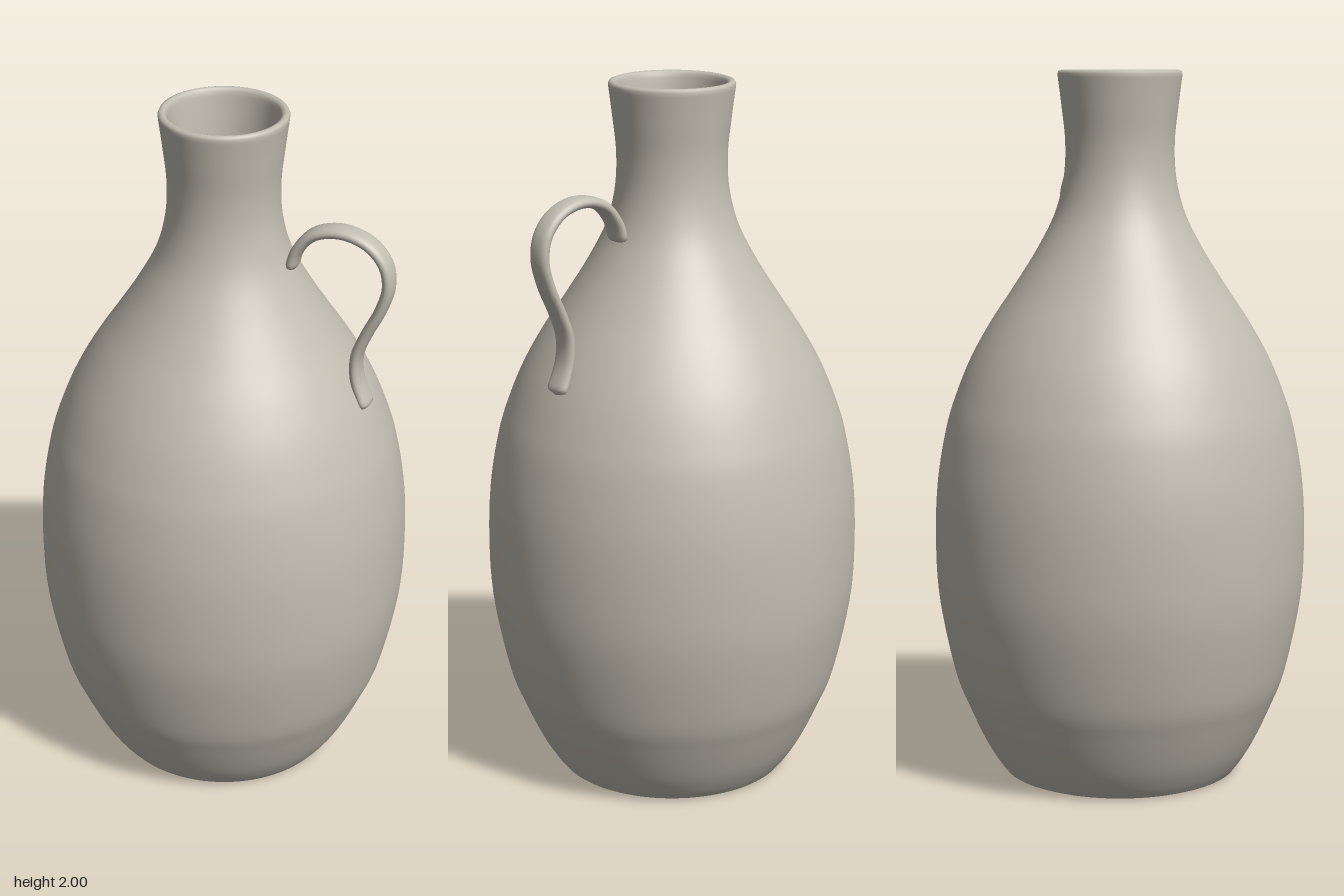
import * as THREE from 'three';
import { mergeVertices } from 'three/addons/utils/BufferGeometryUtils.js';

const v2 = (p) => new THREE.Vector2(p[0], p[1]);
const smooth = (pts, n) => new THREE.SplineCurve(pts.map(v2)).getPoints(n);

// Hollow body: recessed foot, outer wall, rounded lip, inner wall and floor
function bodyGeometry() {
  const foot = [[0, 0.025], [0.28, 0.025], [0.288, 0.022], [0.293, 0.008], [0.302, 0.001], [0.32, 0]].map(v2);
  const outer = smooth([
    [0.335, 0.006], [0.36, 0.04], [0.395, 0.1], [0.44, 0.2], [0.477, 0.3], [0.517, 0.5],
    [0.527, 0.66], [0.52, 0.84], [0.493, 1.0], [0.462, 1.1], [0.42, 1.2], [0.364, 1.3],
    [0.298, 1.4], [0.235, 1.5], [0.184, 1.6], [0.158, 1.7], [0.153, 1.8], [0.163, 1.9], [0.173, 1.98],
  ], 90);
  const lip = [[0.174, 1.99], [0.171, 1.997], [0.163, 2], [0.155, 1.997], [0.151, 1.99]].map(v2);
  const inner = smooth([
    [0.149, 1.98], [0.139, 1.9], [0.13, 1.8], [0.134, 1.7], [0.158, 1.6], [0.208, 1.5], [0.272, 1.4],
    [0.338, 1.3], [0.395, 1.2], [0.467, 1.0], [0.495, 0.84], [0.502, 0.66], [0.49, 0.5],
    [0.45, 0.3], [0.37, 0.1], [0.32, 0.055],
  ], 60);
  const floor = [[0.28, 0.05], [0, 0.05]].map(v2);
  return new THREE.LatheGeometry([...foot, ...outer, ...lip, ...inner, ...floor], 96);
}

// Flat strap handle: a tube widened in z, with rounded closed ends
function handleGeometry() {
  const path = new THREE.CatmullRomCurve3([
    [0.196, 1.578], [0.213, 1.635], [0.26, 1.69], [0.335, 1.71], [0.41, 1.69], [0.458, 1.64],
    [0.471, 1.575], [0.452, 1.5], [0.415, 1.42], [0.39, 1.35], [0.392, 1.28], [0.425, 1.193],
  ].map(([x, y]) => new THREE.Vector3(x, y, 0)));
  const rings = 90, sides = 20, radius = 0.016;
  const geo = new THREE.TubeGeometry(path, rings, radius, sides);
  const pos = geo.attributes.position;
  for (let i = 0; i <= rings; i++) {
    const centre = path.getPointAt(i / rings);
    const end = Math.min(i, rings - i);
    const k = end === 0 ? 0.001 : end === 1 ? 0.85 : 1;
    const flare = 0.033 + 0.005 * Math.pow(Math.abs(2 * i / rings - 1), 4);
    for (let j = 0; j <= sides; j++) {
      const n = i * (sides + 1) + j;
      const z = pos.getZ(n) / radius;
      pos.setXYZ(n,
        centre.x + (pos.getX(n) - centre.x) * k,
        centre.y + (pos.getY(n) - centre.y) * k,
        Math.sign(z) * Math.pow(Math.abs(z), 0.7) * flare * k);
    }
  }
  // Weld the seam so the shading runs round smoothly
  geo.deleteAttribute('uv');
  geo.deleteAttribute('normal');
  const welded = mergeVertices(geo, 1e-5);
  welded.computeVertexNormals();
  return welded;
}

export function createModel() {
  const clay = new THREE.MeshStandardMaterial({ color: 0xc2bdb1 });
  clay.name = 'pale clay';
  const model = new THREE.Group();
  model.name = 'jug';
  const add = (name, geo) => {
    const mesh = new THREE.Mesh(geo, clay);
    mesh.name = name;
    model.add(mesh);
  };
  add('body', bodyGeometry());
  add('handle', handleGeometry());
  return model;
}
